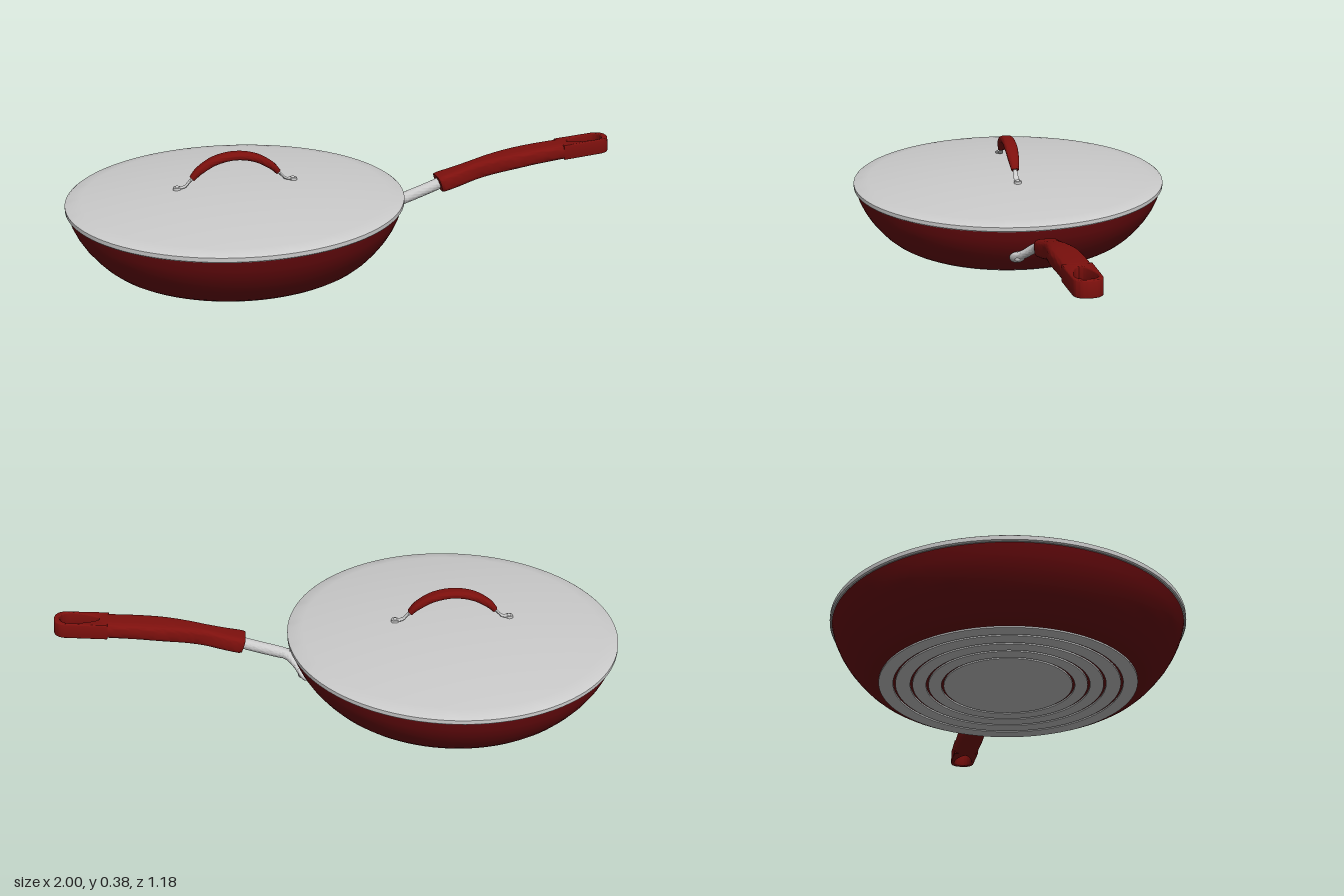
import * as THREE from 'three';
import { toCreasedNormals } from 'three/addons/utils/BufferGeometryUtils.js';

const V = (x, y, z = 0) => new THREE.Vector3(x, y, z);
const mat = (color) => new THREE.MeshStandardMaterial({ color, side: THREE.DoubleSide });
const CX = -0.41; // pan axis

function add(parent, name, geometry, material) {
  const mesh = new THREE.Mesh(geometry, material);
  mesh.name = name;
  parent.add(mesh);
  return mesh;
}

const lathe = (pts) => toCreasedNormals(
  new THREE.LatheGeometry(pts.map(([r, y]) => new THREE.Vector2(r, y)), 96), 0.6);

// Smooth loft through stations [x, y, z, halfWidth, halfHeight]; power sets how boxy the section is
function loft(stations, normal, power = 2, steps = 32, sides = 28) {
  const path = new THREE.CatmullRomCurve3(stations.map((s) => V(s[0], s[1], s[2])), false, 'catmullrom');
  const size = new THREE.CatmullRomCurve3(stations.map((s) => V(s[3], s[4])), false, 'catmullrom');
  const pos = [], index = [];
  const bend = (c) => Math.sign(c) * Math.abs(c) ** (2 / power);
  for (let i = -1; i <= steps + 1; i++) {
    const t = THREE.MathUtils.clamp(i / steps, 0, 1);
    const k = i < 0 || i > steps ? 0 : 1; // collapsed rings close the ends
    const p = path.getPoint(t), s = size.getPoint(t), d = path.getTangent(t);
    const side = normal.clone().cross(d).normalize();
    const up = d.clone().cross(side);
    for (let j = 0; j <= sides; j++) {
      const a = (j / sides) * Math.PI * 2;
      const q = p.clone().addScaledVector(side, k * s.x * bend(Math.cos(a)))
        .addScaledVector(up, k * s.y * bend(Math.sin(a)));
      pos.push(q.x, q.y, q.z);
    }
  }
  const n = sides + 1;
  for (let i = 0; i < steps + 2; i++) for (let j = 0; j < sides; j++) {
    const a = i * n + j;
    if (i <= steps) index.push(a, a + 1 + n, a + n);
    if (i > 0) index.push(a, a + 1, a + 1 + n);
  }
  const g = new THREE.BufferGeometry();
  g.setAttribute('position', new THREE.Float32BufferAttribute(pos, 3));
  g.setIndex(index);
  return toCreasedNormals(g, 0.7);
}

export function createModel() {
  const model = new THREE.Group();
  const red = mat(0x7d100d), enamel = mat(0x6c0a0e), metal = mat(0xcccccc);
  const UP = V(0, 1, 0);

  // Pan body with its lid and base, all turned about one axis
  const pan = new THREE.Group();
  pan.name = 'pan';
  pan.position.x = CX;
  model.add(pan);
  add(pan, 'panBody', lathe([[0, 0.005], [0.425, 0.005], [0.445, 0.01], [0.465, 0.022], [0.49, 0.043],
    [0.515, 0.07], [0.54, 0.102], [0.56, 0.135], [0.575, 0.168], [0.585, 0.205],
    [0.572, 0.205], [0.547, 0.135], [0.502, 0.07], [0.455, 0.03], [0.42, 0.018], [0, 0.018]]), enamel);

  // Base plates, with thin grooves left between them
  const grooves = [0, 0.215, 0.265, 0.317, 0.373, 0.428];
  for (let i = 0; i < grooves.length - 1; i++) {
    const a = i ? grooves[i] + 0.004 : 0, b = grooves[i + 1] - 0.004;
    add(pan, 'basePlate', lathe([[a, 0.005], [a, 0], [b, 0], [b, 0.005]]), metal);
  }

  // Lid: rim band and shallow dome
  const lid = [[0.57, 0.2], [0.588, 0.203], [0.592, 0.207], [0.592, 0.221], [0.586, 0.225]];
  for (let i = 1; i <= 12; i++) {
    const r = 0.586 * (1 - i / 12);
    lid.push([r, 0.225 + 0.043 * (1 - (r / 0.586) ** 2)]);
  }
  add(pan, 'lid', lathe(lid), metal);

  // Lid handle: arched grip on two bent metal feet
  const lidHandle = new THREE.Group();
  lidHandle.name = 'lidHandle';
  pan.add(lidHandle);
  add(lidHandle, 'lidGrip', loft([[-0.153, 0.297, 0, 0.014, 0.01], [-0.125, 0.325, 0, 0.02, 0.013],
    [-0.07, 0.356, 0, 0.024, 0.014], [0, 0.368, 0, 0.024, 0.014], [0.07, 0.356, 0, 0.024, 0.014],
    [0.125, 0.325, 0, 0.02, 0.013], [0.153, 0.297, 0, 0.014, 0.01]], UP, 3), red);
  for (const s of [-1, 1]) {
    add(lidHandle, 'lidHandleFoot', loft([[s * 0.145, 0.304, 0, 0.008, 0.006], [s * 0.163, 0.286, 0, 0.008, 0.005],
      [s * 0.18, 0.27, 0, 0.01, 0.004], [s * 0.205, 0.267, 0, 0.013, 0.004]], UP, 2, 16, 14), metal);
    const pad = add(lidHandle, 'lidHandlePad', new THREE.CylinderGeometry(0.014, 0.015, 0.012, 24), metal);
    pad.position.set(s * 0.206, 0.265, 0);
    const rivet = add(lidHandle, 'lidRivet', new THREE.SphereGeometry(0.008, 16, 10), metal);
    rivet.scale.y = 0.6;
    rivet.position.set(s * 0.206, 0.271, 0);
  }

  // Long handle: metal stem, then a waisted grip
  const handle = new THREE.Group();
  handle.name = 'handle';
  model.add(handle);
  add(handle, 'stem', loft([[0.18, 0.144, 0, 0.02, 0.018], [0.215, 0.155, 0, 0.02, 0.021],
    [0.3, 0.183, 0, 0.02, 0.021], [0.37, 0.208, 0, 0.02, 0.021]], UP), metal);
  add(handle, 'grip', loft([[0.34, 0.2, 0, 0.041, 0.029], [0.352, 0.204, 0, 0.044, 0.031],
    [0.4, 0.216, 0, 0.041, 0.031], [0.47, 0.236, 0, 0.035, 0.031], [0.54, 0.253, 0, 0.041, 0.031],
    [0.62, 0.267, 0, 0.049, 0.031], [0.71, 0.279, 0, 0.05, 0.03], [0.8, 0.2875, 0, 0.049, 0.029],
    [0.82, 0.289, 0, 0.049, 0.028]], UP, 4, 40, 32), red);

  // Grip end with a teardrop hanging hole
  const end = new THREE.Shape();
  end.moveTo(0, -0.049);
  end.lineTo(0.145, -0.047);
  end.bezierCurveTo(0.172, -0.046, 0.188, -0.03, 0.188, 0);
  end.bezierCurveTo(0.188, 0.03, 0.172, 0.046, 0.145, 0.047);
  end.lineTo(0, 0.049);
  end.closePath();
  const hole = new THREE.Path();
  hole.moveTo(0.03, 0);
  hole.bezierCurveTo(0.035, 0.016, 0.09, 0.035, 0.13, 0.036);
  hole.bezierCurveTo(0.18, 0.036, 0.18, -0.036, 0.13, -0.036);
  hole.bezierCurveTo(0.09, -0.035, 0.035, -0.016, 0.03, 0);
  end.holes.push(hole);
  const endGeo = new THREE.ExtrudeGeometry(end, { depth: 0.048, bevelThickness: 0.004, bevelSize: 0.004,
    bevelOffset: -0.004, bevelSegments: 3, curveSegments: 16 });
  endGeo.translate(0, 0, -0.024).rotateX(-Math.PI / 2);
  const gripEnd = add(handle, 'gripEnd', toCreasedNormals(endGeo, 0.7), red);
  gripEnd.rotation.z = 0.08;
  gripEnd.position.set(0.812, 0.2885, 0);

  // Forked bracket riveted to the pan wall
  const wall = V(0.84, -0.54, 0);
  for (const s of [-1, 1]) {
    add(handle, 'bracketArm', loft([[0.2, 0.15, 0, 0.018, 0.018], [0.174, 0.138, s * 0.012, 0.018, 0.017],
      [0.152, 0.115, s * 0.036, 0.02, 0.012], [0.136, 0.097, s * 0.064, 0.024, 0.01]], wall, 2, 20, 20), metal);
    const n = V(0.84, -0.54, s * 0.1).normalize();
    const turn = new THREE.Quaternion().setFromUnitVectors(UP, n);
    const lobe = add(handle, 'bracketLobe', new THREE.SphereGeometry(0.028, 28, 16), metal);
    lobe.scale.y = 0.42;
    lobe.position.set(0.134, 0.096, s * 0.063);
    lobe.quaternion.copy(turn);
    const rivet = add(handle, 'bracketRivet', new THREE.SphereGeometry(0.01, 16, 10), metal);
    rivet.scale.y = 0.6;
    rivet.position.copy(lobe.position).addScaledVector(n, 0.01);
    rivet.quaternion.copy(turn);
  }
  return model;
}
